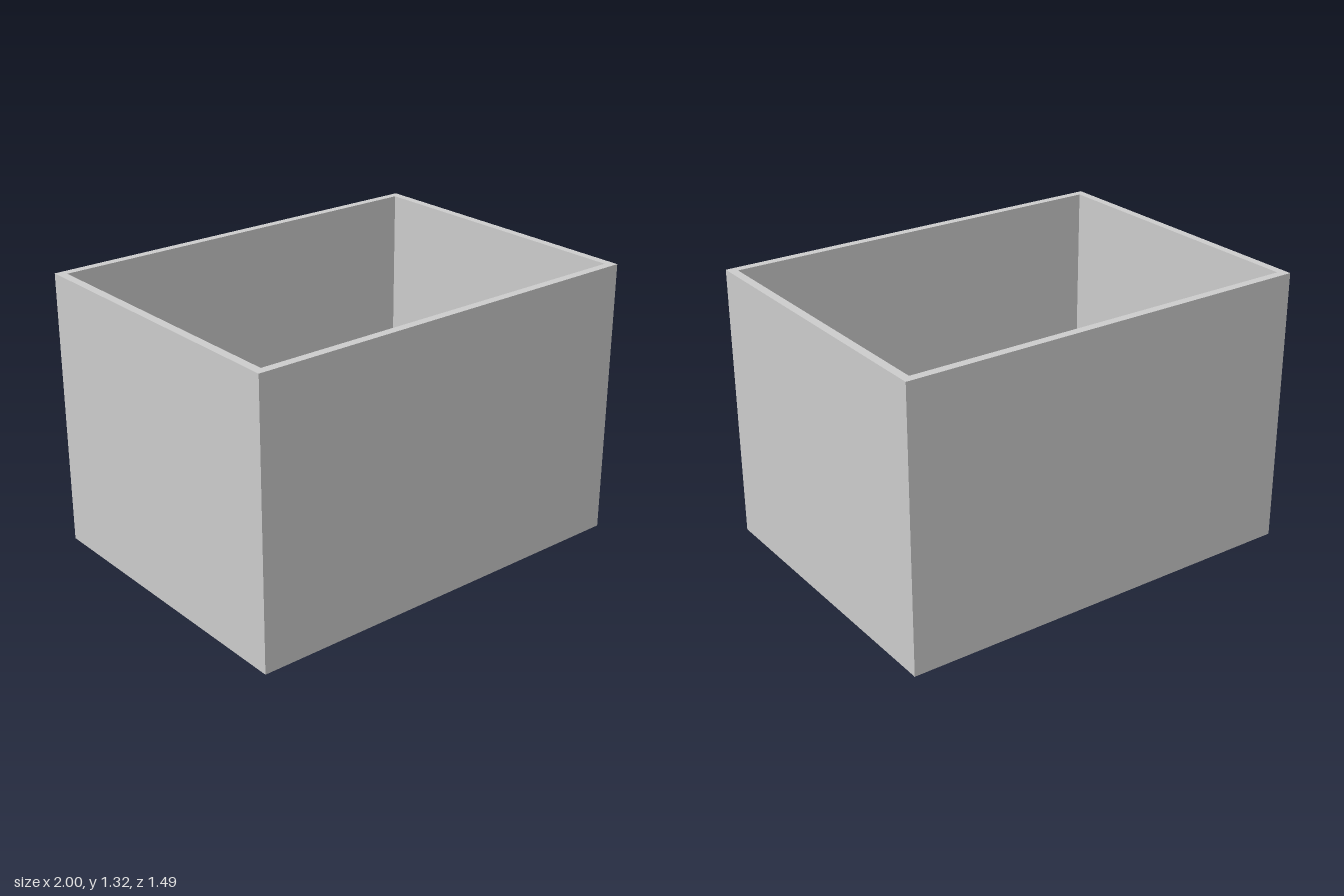
import * as THREE from 'three';

const W = 2, H = 1.32, D = 1.49, T = 0.04; // outer size and board thickness
const GRIP = { w: 0.38, y0: 1.095, y1: 1.23, r: 0.028 };

const grey = new THREE.MeshStandardMaterial({ color: 0xcccccc });
const greyDouble = new THREE.MeshStandardMaterial({ color: 0xcccccc, side: THREE.DoubleSide });

// Rectangle centred on x, from y0 to y1, with optional rounded corners
function rect(Type, w, y0, y1, r = 0) {
  const s = new Type(), x = w / 2;
  if (!r) return s.moveTo(-x, y0).lineTo(x, y0).lineTo(x, y1).lineTo(-x, y1).closePath();
  s.moveTo(-x + r, y0);
  s.absarc(x - r, y0 + r, r, -Math.PI / 2, 0);
  s.absarc(x - r, y1 - r, r, 0, Math.PI / 2);
  s.absarc(-x + r, y1 - r, r, Math.PI / 2, Math.PI);
  s.absarc(-x + r, y0 + r, r, Math.PI, Math.PI * 1.5);
  return s.closePath();
}

function add(parent, name, geometry, material = grey) {
  const mesh = new THREE.Mesh(geometry, material);
  mesh.name = name;
  parent.add(mesh);
  return mesh;
}

// One wall: outer face, inner face and, if wanted, a lined grip hole
function wall(name, width, dist, angle, hasGrip) {
  const group = new THREE.Group();
  group.name = name;
  const outer = rect(THREE.Shape, width, 0, H);
  const inner = rect(THREE.Shape, width - 2 * T, T, H);
  if (hasGrip) {
    for (const s of [outer, inner]) s.holes.push(rect(THREE.Path, GRIP.w, GRIP.y0, GRIP.y1, GRIP.r));
    const lining = new THREE.ExtrudeGeometry(rect(THREE.Shape, GRIP.w, GRIP.y0, GRIP.y1, GRIP.r),
      { depth: T, bevelEnabled: false, curveSegments: 8 });
    const sides = lining.groups[1]; // keep the rim of the hole, drop the caps
    lining.setDrawRange(sides.start, sides.count);
    lining.clearGroups();
    add(group, 'gripLining', lining.translate(0, 0, dist - T), greyDouble);
  }
  add(group, 'outerFace', new THREE.ShapeGeometry(outer, 8).translate(0, 0, dist));
  add(group, 'innerFace', new THREE.ShapeGeometry(inner, 8).rotateY(Math.PI).translate(0, 0, dist - T));
  group.rotation.y = angle;
  return group;
}

export function createModel() {
  const model = new THREE.Group();
  model.name = 'storageBox';

  model.add(
    wall('frontWall', W, D / 2, 0, false),
    wall('leftWall', D, W / 2, Math.PI / 2, true),
    wall('backWall', W, D / 2, Math.PI, false),
    wall('rightWall', D, W / 2, -Math.PI / 2, true),
  );

  // Flat rim joining the inner and outer faces
  const rim = rect(THREE.Shape, W, -D / 2, D / 2);
  rim.holes.push(rect(THREE.Path, W - 2 * T, -D / 2 + T, D / 2 - T));
  add(model, 'rim', new THREE.ShapeGeometry(rim).rotateX(-Math.PI / 2).translate(0, H, 0));

  // Floor, inside and underneath
  add(model, 'floor', new THREE.PlaneGeometry(W - 2 * T, D - 2 * T).rotateX(-Math.PI / 2).translate(0, T, 0));
  add(model, 'underside', new THREE.PlaneGeometry(W, D).rotateX(Math.PI / 2));

  return model;
}
